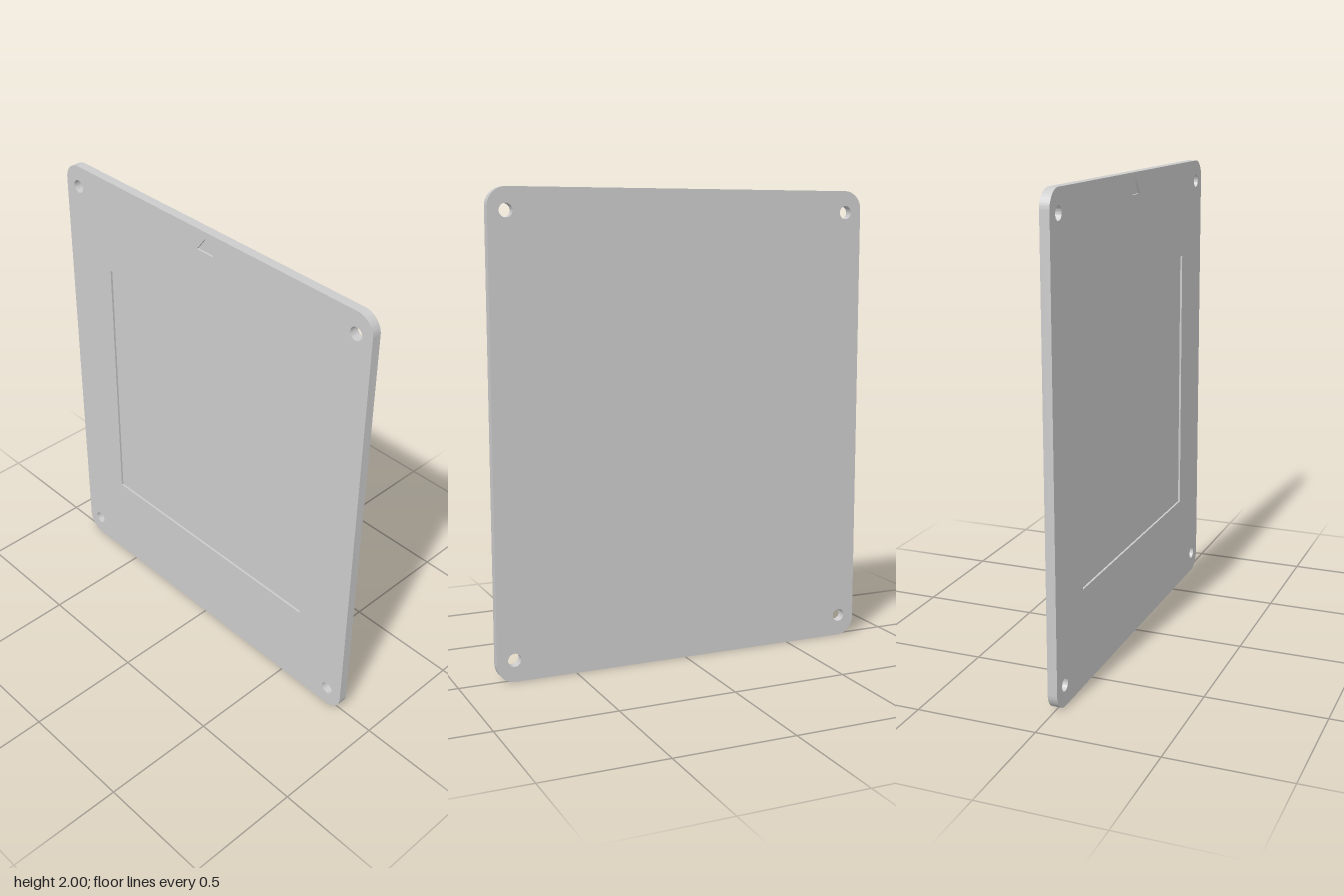
import * as THREE from 'three';
import { mergeVertices, toCreasedNormals } from 'three/addons/utils/BufferGeometryUtils.js';

const W = 0.843, H = 1, R = 0.077;      // plate half width, half height, corner radius
const BACK = -0.02, FRONT = 0.02, FLOOR = 0.011;
const SEG = 16;

function roundedRect(w, h, r) {
  const s = new THREE.Shape();
  s.absarc(w - r, h - r, r, 0, Math.PI / 2);
  s.absarc(-w + r, h - r, r, Math.PI / 2, Math.PI);
  s.absarc(-w + r, -h + r, r, Math.PI, Math.PI * 1.5);
  s.absarc(w - r, -h + r, r, Math.PI * 1.5, Math.PI * 2);
  s.closePath();
  return s;
}

const polygon = (pts) => new THREE.Shape(pts.map(([x, y]) => new THREE.Vector2(x, y)));

// Strip of wall along a closed counter-clockwise outline; inward walls line an opening
function wall(shape, z0, z1, inward = false) {
  const pts = shape.getPoints(SEG);
  if (pts[0].distanceTo(pts[pts.length - 1]) < 1e-6) pts.pop();
  if (inward) pts.reverse();
  const pos = [];
  pts.forEach((p, i) => {
    const q = pts[(i + 1) % pts.length];
    if (p.distanceTo(q) < 1e-6) return;
    pos.push(p.x, p.y, z0, q.x, q.y, z0, q.x, q.y, z1);
    pos.push(p.x, p.y, z0, q.x, q.y, z1, p.x, p.y, z1);
  });
  const g = new THREE.BufferGeometry();
  g.setAttribute('position', new THREE.Float32BufferAttribute(pos, 3));
  return toCreasedNormals(mergeVertices(g), 0.6);
}

function face(shape, holes, z, backward = false) {
  const s = shape.clone();
  s.holes = holes;
  const g = new THREE.ShapeGeometry(s, SEG);
  // The outline is symmetric, so a half turn makes the rear face
  if (backward) g.rotateY(Math.PI);
  return g.translate(0, 0, z);
}

export function createModel() {
  const model = new THREE.Group();
  model.name = 'mountingPlate';
  const mat = new THREE.MeshStandardMaterial({ color: 0xcccccc });
  const add = (name, geometry) => {
    const m = new THREE.Mesh(geometry, mat);
    m.name = name;
    m.position.y = H;
    model.add(m);
  };

  const outline = roundedRect(W, H, R);

  // Screw holes near the four corners
  const screwHoles = [];
  for (const x of [-0.768, 0.768]) for (const y of [-0.908, 0.908]) {
    const c = new THREE.Shape();
    c.absarc(x, y, 0.028, 0, Math.PI * 2);
    screwHoles.push(c);
  }

  // Shallow pockets in the front: square panel and orientation triangle
  const a = 0.585;
  const panel = polygon([[-a, -a], [a, -a], [a, a], [-a, a]]);
  const triangle = polygon([[-0.046, 0.91], [0.046, 0.91], [0, 0.971]]);

  add('frontFace', face(outline, [...screwHoles, panel, triangle], FRONT));
  add('backFace', face(outline, screwHoles, BACK, true));
  add('plateRim', wall(outline, BACK, FRONT));
  screwHoles.forEach((h) => add('screwHoleWall', wall(h, BACK, FRONT, true)));
  for (const [name, s] of [['panelRecess', panel], ['triangleRecess', triangle]]) {
    add(name + 'Floor', face(s, [], FLOOR));
    add(name + 'Wall', wall(s, FLOOR, FRONT, true));
  }
  return model;
}
